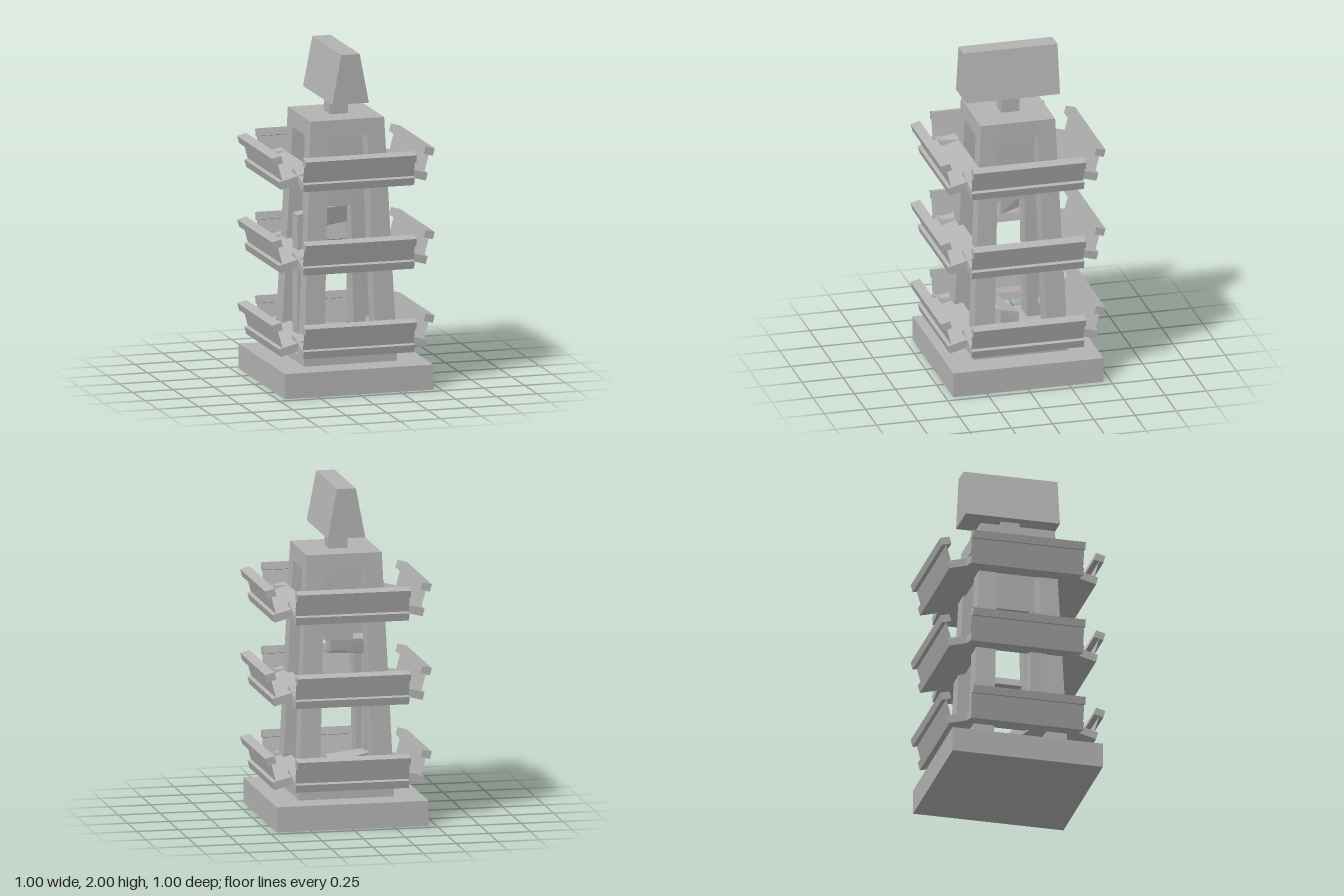
import * as THREE from 'three';
import { ConvexGeometry } from 'three/addons/geometries/ConvexGeometry.js';

const TILT = Math.PI / 12;

export function createModel() {
  const model = new THREE.Group();
  const stone = new THREE.MeshStandardMaterial({ color: 0xb4b4b4 });
  stone.name = 'greyStone';
  const sheet = stone.clone();
  sheet.side = THREE.DoubleSide;

  function add(parent, name, geometry, material = stone) {
    const mesh = new THREE.Mesh(geometry, material);
    mesh.name = name;
    parent.add(mesh);
    return mesh;
  }

  // Block whose lower and upper rectangles [x0, x1, z0, z1] may differ
  function taper(low, y0, high, y1) {
    const g = new THREE.BoxGeometry(1, 1, 1);
    const p = g.attributes.position;
    for (let i = 0; i < p.count; i++) {
      const r = p.getY(i) > 0 ? high : low;
      p.setXYZ(i, r[p.getX(i) > 0 ? 1 : 0], p.getY(i) > 0 ? y1 : y0, r[p.getZ(i) > 0 ? 3 : 2]);
    }
    g.computeVertexNormals();
    return g;
  }
  const square = (h) => [-h, h, -h, h];
  const block = (h, y0, y1) => taper(square(h), y0, square(h), y1);

  // Base and plinth
  add(model, 'base', block(0.455, 0, 0.15));
  add(model, 'plinth', block(0.285, 0.15, 0.2));

  // Four leaning corner legs
  for (let i = 0; i < 4; i++) {
    const leg = add(model, 'cornerLeg',
      taper([0.16, 0.285, 0.16, 0.285], 0.2, [0.117, 0.225, 0.117, 0.225], 1.6));
    leg.rotation.y = i * Math.PI / 2;
  }

  // Crown joining the legs, with the core hanging inside it
  add(model, 'crown', taper(square(0.229), 1.5, square(0.225), 1.6));
  add(model, 'core', block(0.132, 1.105, 1.5));
  add(model, 'upperPlate', block(0.083, 1.055, 1.105));
  add(model, 'lowerPlate', block(0.08, 0.2, 0.25));

  // Bent duct: two arms running from the centre to an offset post
  const armPoints = [
    [0.05, 1.055, 0.06], [0.05, 1.055, -0.055], [0.05, 0.955, 0.06], [0.04, 0.985, -0.055],
    [-0.15, 1.055, 0.14], [-0.15, 0.955, 0.14], [-0.285, 1.03, 0.16], [-0.285, 1.03, 0.06],
    [-0.285, 0.94, 0.16], [-0.285, 0.94, 0.06],
  ];
  const arm = (mapY) => new ConvexGeometry(
    armPoints.map(([x, y, z]) => new THREE.Vector3(x, mapY(y), z)));
  add(model, 'upperArm', arm((y) => y));
  add(model, 'lowerArm', arm((y) => 1.305 - y));
  const post = [-0.285, -0.185, 0.06, 0.16];
  add(model, 'ductPost', taper(post, 0.29, post, 1.02));

  // Three balconies, each with four sloping floors, walls and rails
  for (const y of [0, 0.5, 1]) {
    const balcony = new THREE.Group();
    balcony.name = 'balcony';
    balcony.position.y = y;
    for (let i = 0; i < 4; i++) {
      const side = new THREE.Group();
      side.name = 'balconySide';
      side.rotation.y = i * Math.PI / 2;

      const floor = add(side, 'slopingFloor', new THREE.BoxGeometry(0.68, 0.047, 0.23));
      floor.position.set(0, 0.282, 0.339);
      floor.rotation.x = TILT;

      const wall = add(side, 'thinWall', new THREE.PlaneGeometry(0.68, 0.102), sheet);
      wall.position.set(0, 0.332, 0.449);
      wall.rotation.x = TILT;

      const rail = add(side, 'rail', new THREE.BoxGeometry(0.68, 0.045, 0.058));
      rail.position.set(0, 0.404, 0.466);
      rail.rotation.x = TILT;
      balcony.add(side);
    }
    model.add(balcony);
  }

  // Neck and long wedge-shaped head
  add(model, 'neck', block(0.056, 1.6, 1.705));
  add(model, 'head', taper([-0.113, 0.113, -0.285, 0.285], 1.705, [-0.056, 0.056, -0.285, 0.285], 2));

  return model;
}
